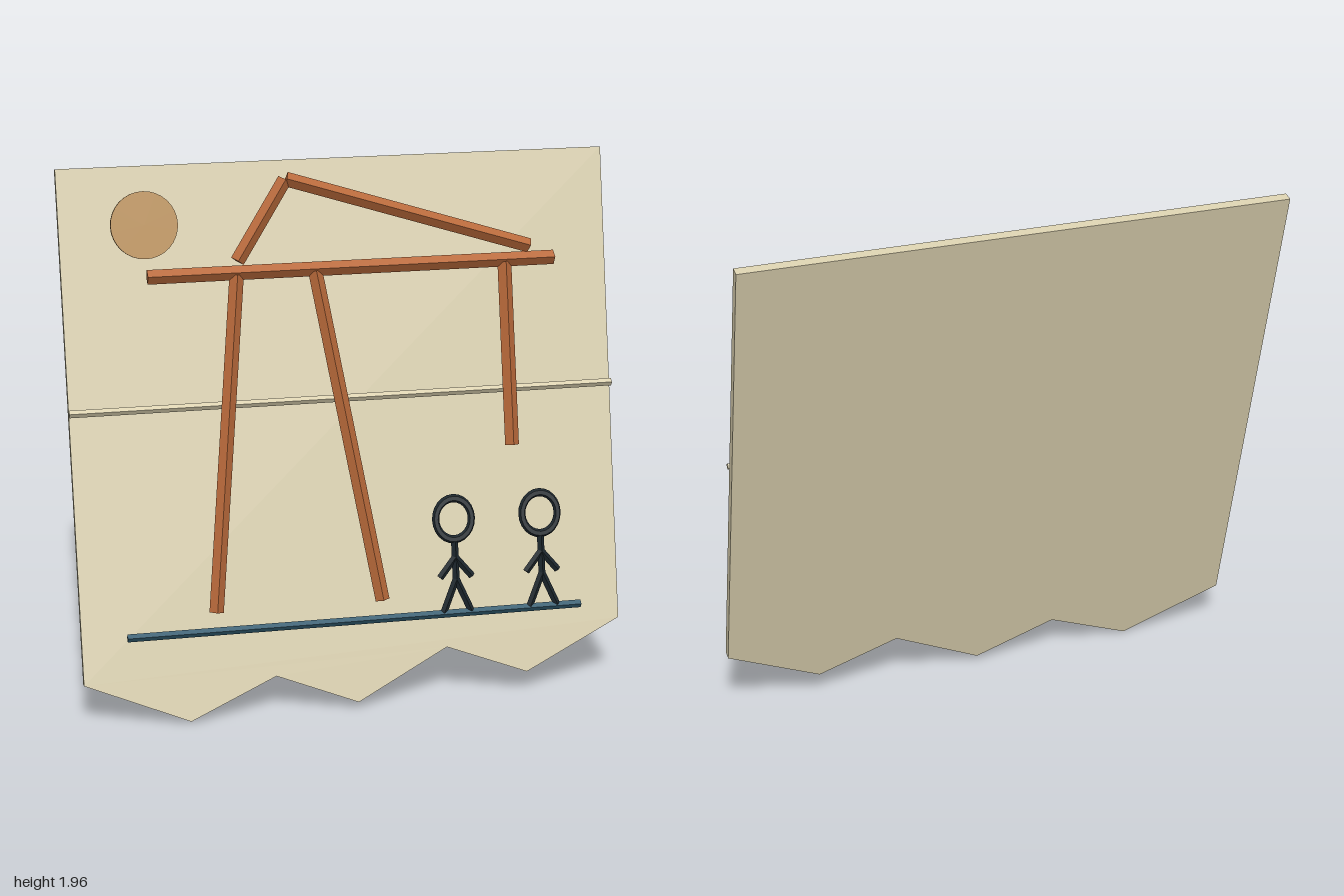
import * as THREE from 'three';

const TILT = THREE.MathUtils.degToRad(14);
const BASE_Y = 0.0085, BASE_Z = 0.258, THICK = 0.035;
const FLOAT = 0.056; // how far the relief stands off the panel

const material = (name, color) => {
  const m = new THREE.MeshStandardMaterial({ color, flatShading: true });
  m.name = name;
  return m;
};

// Distance up the leaning panel for a height above the floor
const up = (y, w = FLOAT) => (y - BASE_Y - w * Math.sin(TILT)) / Math.cos(TILT);

// Four-sided bar with one edge facing out, from (x, height) to (x, height)
function bar(name, mat, [x1, y1], [x2, y2], r, w = FLOAT) {
  const a = new THREE.Vector3(x1, up(y1, w), w);
  const b = new THREE.Vector3(x2, up(y2, w), w);
  const dir = b.clone().sub(a);
  const mesh = new THREE.Mesh(new THREE.CylinderGeometry(r, r, dir.length(), 4), mat);
  mesh.position.copy(a).add(b).multiplyScalar(0.5);
  mesh.quaternion.setFromUnitVectors(new THREE.Vector3(0, 1, 0), dir.normalize());
  mesh.name = name;
  return mesh;
}

// Stick figure with a ring head
function figure(name, x, mat) {
  const g = new THREE.Group();
  g.name = name;
  const head = new THREE.Mesh(new THREE.TorusGeometry(0.067, 0.0135, 6, 24), mat);
  head.scale.y = 1.13;
  head.position.set(x, up(0.68), FLOAT);
  head.name = 'head';
  g.add(head, bar('body', mat, [x, 0.6], [x, 0.455], 0.013));
  for (const [side, s] of [['left', 1], ['right', -1]]) {
    g.add(bar(side + 'Arm', mat, [x, 0.543], [x + s * 0.06, 0.472], 0.013));
    g.add(bar(side + 'Leg', mat, [x, 0.465], [x + s * 0.052, 0.347], 0.013));
  }
  return g;
}

export function createModel() {
  const stone = material('pale stone', 0xd9cfae);
  const wood = material('orange wood', 0xb8693a);
  const gold = material('dull gold', 0xb5894a);
  const teal = material('dark teal', 0x2f5a6e);
  const ink = material('near black', 0x1c262c);

  const model = new THREE.Group();
  model.name = 'leaningRelief';
  const board = new THREE.Group();
  board.name = 'board';
  board.rotation.x = -TILT;
  board.position.set(0, BASE_Y, BASE_Z);
  model.add(board);

  // Panel with a broken lower edge
  const outline = [
    [-1, 0.161], [-0.62, 0], [-0.3, 0.141], [0, 0.02],
    [0.34, 0.198], [0.64, 0.082], [1, 0.259], [1, 2.008], [-1, 2.008],
  ].map(([x, y]) => new THREE.Vector2(x, y));
  const panel = new THREE.Mesh(
    new THREE.ExtrudeGeometry(new THREE.Shape(outline), { depth: THICK, bevelEnabled: false }), stone);
  panel.position.z = -THICK;
  panel.name = 'panel';
  board.add(panel, bar('seamRod', stone, [-1, 1.122], [1, 1.122], 0.0135, 0.024));

  // Sun disc
  const sun = new THREE.Mesh(new THREE.CylinderGeometry(0.12, 0.12, 0.016, 32), gold);
  sun.rotation.x = Math.PI / 2;
  sun.position.set(-0.7, up(1.763, 0.045), 0.045);
  sun.name = 'sun';
  board.add(sun);

  // Timber frame
  const beams = [
    ['crossBeam', [-0.7, 1.587], [0.79, 1.587]],
    ['outerLeg', [-0.38, 1.58], [-0.515, 0.41]],
    ['innerLeg', [-0.095, 1.58], [0.095, 0.41]],
    ['hangingPost', [0.605, 1.58], [0.605, 0.93]],
    ['shortBrace', [-0.375, 1.627], [-0.19, 1.9]],
    ['longBrace', [-0.185, 1.902], [0.7, 1.632]],
  ];
  for (const [name, a, b] of beams) board.add(bar(name, wood, a, b, 0.026));

  // Ground line and the two people
  board.add(bar('groundLine', teal, [-0.84, 0.343], [0.84, 0.343], 0.0145));
  board.add(figure('innerFigure', 0.373, ink), figure('outerFigure', 0.698, ink));

  return model;
}
